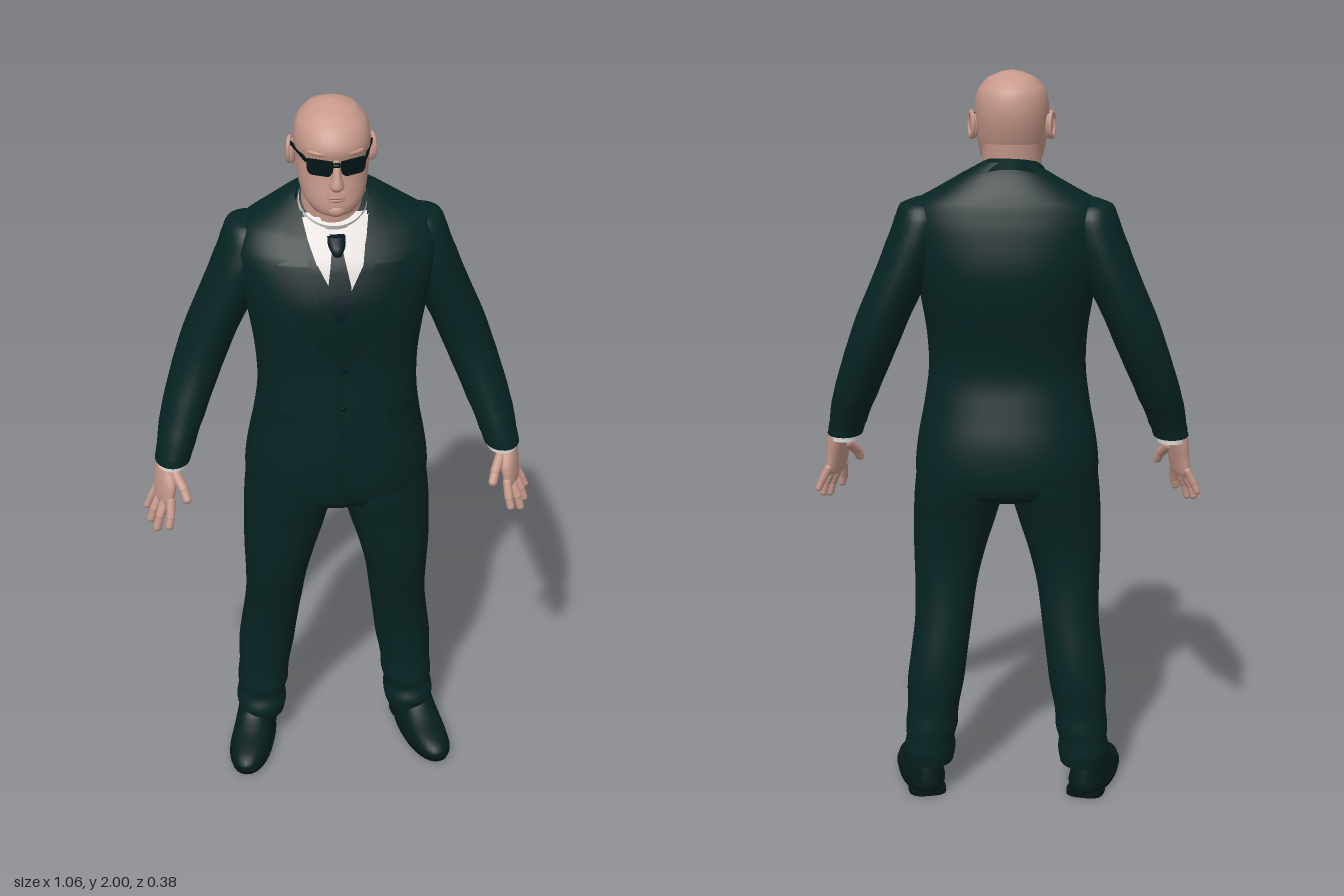
import * as THREE from 'three';

const paint = (name, color) => Object.assign(new THREE.MeshStandardMaterial({ color }), { name });
const sheet = (m) => { m.side = THREE.DoubleSide; return m; };

// Section: [y, cx, zFront, zBack, halfWidth], ordered from low to high; smoothed between sections
function rings(sections, steps = 4) {
  const curve = (f) => new THREE.CatmullRomCurve3(sections.map(f), false, 'catmullrom', 0.5);
  const a = curve((s) => new THREE.Vector3(s[1], s[4], 0));
  const b = curve((s) => new THREE.Vector3(s[2], s[3], 0));
  const n = (sections.length - 1) * steps;
  return Array.from({ length: n + 1 }, (_, j) => {
    const k = Math.min(Math.floor(j / steps), sections.length - 2);
    const y = THREE.MathUtils.lerp(sections[k][0], sections[k + 1][0], j / steps - k);
    const p = a.getPoint(j / n), q = b.getPoint(j / n);
    return [y, p.x, q.x, q.y, Math.max(p.y, 0.001)];
  });
}

// Closed body through superelliptical rings, with flat end caps
function loft(sections, { power = 2, seg = 32, steps = 4 } = {}) {
  const rs = rings(sections, steps), pos = [], idx = [];
  const bend = (v) => Math.sign(v) * Math.abs(v) ** (2 / power);
  const addRing = ([y, cx, zf, zb, hw]) => {
    for (let i = 0; i < seg; i++) {
      const t = (i / seg) * Math.PI * 2;
      pos.push(cx + hw * bend(Math.sin(t)), y, (zf + zb) / 2 + (zf - zb) / 2 * bend(Math.cos(t)));
    }
  };
  rs.forEach(addRing);
  for (let j = 0; j < rs.length - 1; j++) for (let i = 0; i < seg; i++) {
    const a = j * seg + i, b = j * seg + (i + 1) % seg;
    idx.push(a, b, b + seg, a, b + seg, a + seg);
  }
  [rs[0], rs[rs.length - 1]].forEach((r, top) => {
    const base = pos.length / 3;
    addRing(r);
    pos.push(r[1], r[0], (r[2] + r[3]) / 2);
    for (let i = 0; i < seg; i++) {
      const a = base + i, b = base + (i + 1) % seg;
      idx.push(base + seg, top ? a : b, top ? b : a);
    }
  });
  return finish(pos, idx);
}

function finish(pos, idx) {
  const g = new THREE.BufferGeometry();
  g.setAttribute('position', new THREE.Float32BufferAttribute(pos, 3));
  g.setIndex(idx);
  g.computeVertexNormals();
  return g;
}

const JACKET = [
  [0.91, 0, 0.172, -0.183, 0.247], [0.95, 0, 0.18, -0.187, 0.248], [1.02, 0, 0.183, -0.182, 0.24],
  [1.1, 0, 0.18, -0.163, 0.225], [1.2, 0, 0.174, -0.142, 0.212], [1.3, 0, 0.168, -0.155, 0.215],
  [1.4, 0, 0.174, -0.18, 0.23], [1.5, 0, 0.17, -0.19, 0.25], [1.6, 0, 0.135, -0.175, 0.268],
  [1.66, 0, 0.088, -0.158, 0.245], [1.7, 0, 0.045, -0.14, 0.18], [1.74, 0, 0.0, -0.115, 0.115],
  [1.77, 0, -0.03, -0.09, 0.06]];
const POWER = 2.3, JACKET_RINGS = rings(JACKET);

// Front surface of the jacket, used to lay cloth details on it
function chestZ(x, y) {
  let k = JACKET_RINGS.findIndex((r) => r[0] > y);
  k = k < 1 ? JACKET_RINGS.length - 1 : k;
  const a = JACKET_RINGS[k - 1], b = JACKET_RINGS[k];
  const [, , zf, zb, hw] = a.map((v, i) => THREE.MathUtils.lerp(v, b[i], (y - a[0]) / (b[0] - a[0])));
  const u = Math.min(Math.abs(x) / hw, 1);
  return (zf + zb) / 2 + (zf - zb) / 2 * (1 - u ** POWER) ** (1 / POWER);
}

// Thin cloth sheet following the chest; rows run downward as [y, x0, x1]
function cloth(rows, lift, s = 1) {
  const pos = [], idx = [], cols = 8, fine = [];
  rows.forEach((r, i) => {
    if (i) for (let k = 1; k <= 5; k++) fine.push(r.map((v, c) => THREE.MathUtils.lerp(rows[i - 1][c], v, k / 5)));
    else fine.push(r);
  });
  fine.forEach(([y, x0, x1], j) => {
    for (let i = 0; i <= cols; i++) {
      const x = s * THREE.MathUtils.lerp(x0, x1, i / cols), a = j * (cols + 1) + i;
      pos.push(x, y, chestZ(x, y) + lift);
      if (j && i) {
        const q = [a - cols - 2, a - 1, a, a - cols - 1];
        if (s < 0) q.reverse();
        idx.push(q[0], q[1], q[2], q[0], q[2], q[3]);
      }
    }
  });
  return finish(pos, idx);
}

export function createModel() {
  const suit = paint('suit cloth', 0x062423), trim = sheet(paint('lapel cloth', 0x052120));
  const skin = paint('skin', 0xc7998b), lip = paint('lips', 0xb58478);
  const shirt = sheet(paint('shirt white', 0xe2dddb)), tieCloth = sheet(paint('tie', 0x041a20));
  const dark = paint('dark lens', 0x021416), leather = paint('shoe leather', 0x051d1d);
  const model = new THREE.Group();
  model.name = 'suitedMan';
  const add = (name, geo, mat, p = [0, 0, 0], r = [0, 0, 0], parent = model) => {
    const m = new THREE.Mesh(geo, mat);
    m.name = name;
    m.position.set(...p);
    m.rotation.set(...r);
    parent.add(m);
    return m;
  };
  const ball = (name, mat, p, size, parent, r) =>
    add(name, new THREE.SphereGeometry(1, 20, 14), mat, p, r, parent).scale.set(...size);
  const capsule = (name, mat, a, b, radius) => {
    const A = new THREE.Vector3(...a), d = new THREE.Vector3(...b).sub(A);
    const m = add(name, new THREE.CapsuleGeometry(radius, d.length(), 5, 12), mat);
    m.position.copy(A).addScaledVector(d, 0.5);
    m.quaternion.setFromUnitVectors(new THREE.Vector3(0, 1, 0), d.normalize());
  };

  // Jacket body and hips
  add('jacket', loft(JACKET, { power: POWER, seg: 56 }), suit);
  add('trouserSeat', loft([[0.835, 0, 0.06, -0.06, 0.06], [0.86, 0, 0.125, -0.13, 0.19],
    [0.9, 0, 0.145, -0.155, 0.235], [0.95, 0, 0.15, -0.16, 0.235]]), suit);

  // Waistcoat, shirt front and tie
  add('waistcoat', cloth([[1.7, -0.1, 0.1], [1.6, -0.09, 0.09], [1.5, -0.065, 0.065], [1.33, 0, 0]], 0.003), trim);
  add('shirtFront', cloth([[1.705, -0.085, 0.075], [1.6, -0.06, 0.055], [1.5, -0.008, 0.0]], 0.006), shirt);
  add('tieBlade', cloth([[1.635, -0.024, 0.004], [1.55, -0.038, 0.022], [1.49, -0.03, 0.016], [1.46, -0.01, 0]], 0.011), tieCloth);
  add('tieKnot', loft([[1.625, -0.01, 0.142, 0.105, 0.012], [1.645, -0.01, 0.136, 0.09, 0.022],
    [1.665, -0.01, 0.112, 0.07, 0.024]], { seg: 16 }), tieCloth);

  // Collars around the neck
  add('shirtCollar', new THREE.CylinderGeometry(0.087, 0.094, 0.05, 36, 1, true), shirt, [-0.01, 1.715, 0], [0.6, 0, 0]);
  add('jacketCollar', new THREE.CylinderGeometry(0.093, 0.115, 0.05, 36, 1, true, Math.PI / 2, Math.PI), trim, [-0.008, 1.712, -0.008], [0.6, 0, 0]);

  // Buttons and breast pocket
  [1.31, 1.2].forEach((y) => ball('jacketButton', dark, [0, y, chestZ(0, y)], [0.01, 0.01, 0.006]));
  add('breastPocket', cloth([[1.522, 0.125, 0.205], [1.5, 0.125, 0.2]], 0.005), trim);
  add('pocketSquare', cloth([[1.56, 0.165, 0.166], [1.522, 0.135, 0.195]], 0.004), trim);
  add('frontEdge', cloth([[1.33, -0.016, 0.004], [1.1, -0.018, 0.004], [0.96, -0.016, 0.006], [0.915, 0.01, 0.03]], 0.005), trim);

  for (const s of [1, -1]) {
    const side = s > 0 ? 'left' : 'right';
    const limb = (rows) => rows.map(([y, x, ...rest]) => [y, x * s, ...rest]);

    // Lapel, shirt collar wing and hip pocket flap
    add(side + 'Lapel', cloth([[1.71, 0.09, 0.12], [1.66, 0.088, 0.145], [1.622, 0.085, 0.162], [1.615, 0.085, 0.13],
      [1.6, 0.083, 0.17], [1.5, 0.06, 0.132], [1.4, 0.028, 0.075], [1.325, -0.004, 0.016]], 0.011, s), trim);
    add(side + 'CollarWing', cloth([[1.7, 0.04, 0.085], [1.655, 0.012, 0.074], [1.605, 0.05, 0.056]], 0.013, s), shirt)
      .position.x = -0.008;
    add(side + 'PocketFlap', cloth([[1.18, 0.115, 0.195], [1.14, 0.122, 0.202]], 0.006, s), trim);

    // Sleeve with shirt cuff
    add(side + 'Sleeve', loft(limb([[1.005, 0.446, 0.112, -0.018, 0.048], [1.04, 0.436, 0.107, -0.03, 0.051],
      [1.12, 0.413, 0.085, -0.07, 0.06], [1.25, 0.368, 0.055, -0.115, 0.068], [1.35, 0.33, 0.05, -0.135, 0.072],
      [1.45, 0.285, 0.055, -0.142, 0.075], [1.55, 0.245, 0.06, -0.14, 0.076], [1.62, 0.225, 0.045, -0.13, 0.07],
      [1.655, 0.225, 0.02, -0.11, 0.055], [1.672, 0.22, -0.02, -0.07, 0.02]])), suit);
    add(side + 'Cuff', loft(limb([[0.988, 0.448, 0.1, 0.0, 0.04], [1.02, 0.443, 0.1, -0.005, 0.042]]), { seg: 24 }), shirt);

    // Hand
    add(side + 'Palm', loft(limb([[-0.008, 0.002, 0.035, -0.035, 0.012], [0.005, 0, 0.044, -0.044, 0.016],
      [0.05, -0.008, 0.042, -0.046, 0.02], [0.09, -0.016, 0.02, -0.05, 0.022], [0.13, -0.022, 0.012, -0.05, 0.023]]),
    { seg: 24, power: 2.3 }), skin, [0.475 * s, 0.892, 0.07], [0, -0.49 * s, 0]);
    [[[0.457, 0.9, 0.104], [0.46, 0.86, 0.123], [0.465, 0.837, 0.13], 0.012],
      [[0.47, 0.897, 0.08], [0.488, 0.85, 0.096], [0.497, 0.817, 0.1], 0.0125],
      [[0.483, 0.897, 0.056], [0.503, 0.855, 0.066], [0.512, 0.826, 0.068], 0.012],
      [[0.493, 0.905, 0.034], [0.51, 0.872, 0.034], [0.52, 0.848, 0.034], 0.0105],
      [[0.442, 0.968, 0.07], [0.422, 0.938, 0.108], [0.414, 0.915, 0.124], 0.0135],
    ].forEach(([a, b, c, r]) => {
      [a, b, c].forEach((p) => { p[0] *= s; });
      capsule(side + 'FingerBase', skin, a, b, r);
      capsule(side + 'FingerTip', skin, b, c, r * 0.92);
    });

    // Trouser leg, with slight breaks at knee and hem
    add(side + 'TrouserLeg', loft(limb([[0.085, 0.214, 0.04, -0.125, 0.064], [0.12, 0.215, 0.05, -0.132, 0.071],
      [0.155, 0.213, 0.037, -0.132, 0.067], [0.19, 0.209, 0.042, -0.134, 0.072], [0.24, 0.205, 0.037, -0.13, 0.071],
      [0.32, 0.197, 0.04, -0.134, 0.078], [0.4, 0.187, 0.05, -0.13, 0.078], [0.5, 0.175, 0.072, -0.116, 0.079],
      [0.6, 0.168, 0.1, -0.105, 0.086], [0.7, 0.157, 0.118, -0.105, 0.1], [0.8, 0.141, 0.13, -0.123, 0.115],
      [0.87, 0.13, 0.142, -0.143, 0.122], [0.95, 0.125, 0.145, -0.155, 0.118]]), { power: 2.15 }), suit);

    // Shoe
    const shoe = new THREE.Group();
    shoe.name = side + 'Shoe';
    shoe.position.set(0.246 * s, 0, 0.03);
    shoe.rotation.y = 0.22 * s;
    model.add(shoe);
    add('upper', loft([[0.014, 0, 0.158, -0.152, 0.057], [0.035, 0, 0.154, -0.155, 0.059], [0.055, 0, 0.125, -0.153, 0.055],
      [0.075, 0, 0.06, -0.15, 0.052], [0.1, 0, 0.01, -0.145, 0.048], [0.13, 0, -0.01, -0.14, 0.042]], { power: 2.2 }),
    leather, undefined, undefined, shoe);
    add('sole', loft([[0.006, 0, 0.158, -0.155, 0.06], [0.02, 0, 0.165, -0.158, 0.063]], { power: 2.2 }), dark, undefined, undefined, shoe);
    add('heel', loft([[0, 0, -0.06, -0.157, 0.052], [0.012, 0, -0.06, -0.157, 0.052]], { power: 3 }), dark, undefined, undefined, shoe);
  }

  // Head and neck
  const head = new THREE.Group();
  head.name = 'head';
  head.position.x = -0.012;
  model.add(head);
  add('neck', loft([[1.62, 0, 0.06, -0.08, 0.08], [1.7, 0, 0.066, -0.076, 0.079], [1.76, 0, 0.07, -0.078, 0.078],
    [1.82, 0, 0.06, -0.085, 0.08]]), skin, undefined, undefined, head);
  add('skull', loft([[1.722, 0, 0.1, 0.02, 0.036], [1.735, 0, 0.125, -0.01, 0.056], [1.76, 0, 0.131, -0.045, 0.076],
    [1.79, 0, 0.128, -0.072, 0.086], [1.83, 0, 0.122, -0.09, 0.092], [1.87, 0, 0.121, -0.103, 0.095],
    [1.91, 0, 0.129, -0.108, 0.097], [1.95, 0, 0.107, -0.1, 0.088], [1.98, 0, 0.067, -0.072, 0.063],
    [1.995, 0, 0.025, -0.036, 0.031], [2, 0, 0.002, -0.012, 0.006]], { power: 2.1, seg: 40 }), skin, undefined, undefined, head);
  add('nose', loft([[1.805, 0, 0.14, 0.1, 0.012], [1.817, 0, 0.154, 0.1, 0.019], [1.84, 0, 0.148, 0.1, 0.013],
    [1.885, 0, 0.128, 0.1, 0.009]], { seg: 20 }), skin, undefined, undefined, head);
  ball('upperLip', lip, [0, 1.785, 0.126], [0.026, 0.005, 0.008], head);
  ball('lowerLip', lip, [0, 1.777, 0.126], [0.022, 0.005, 0.008], head);
  ball('chin', skin, [0, 1.748, 0.113], [0.026, 0.02, 0.022], head);
  ball('glassesBridge', dark, [0, 1.876, 0.134], [0.015, 0.006, 0.008], head);

  // Ears, brows and sunglasses
  const lens = new THREE.Shape();
  lens.moveTo(-0.033, 0.02).lineTo(0.033, 0.02).quadraticCurveTo(0.038, -0.018, 0.02, -0.02)
    .lineTo(-0.02, -0.02).quadraticCurveTo(-0.038, -0.018, -0.033, 0.02);
  for (const s of [1, -1]) {
    ball('ear', skin, [0.098 * s, 1.856, -0.014], [0.009, 0.034, 0.02], head, [-0.15, 0.35 * s, 0]);
    add('earRim', new THREE.TorusGeometry(0.024, 0.006, 8, 20), skin, [0.105 * s, 1.86, -0.016], [0, Math.PI / 2 + 0.3 * s, 0], head)
      .scale.set(0.8, 1.3, 1);
    ball('brow', skin, [0.038 * s, 1.9, 0.105], [0.036, 0.01, 0.016], head, [0, 0.4 * s, 0]);
    add('lens', new THREE.ExtrudeGeometry(lens, { depth: 0.008, bevelEnabled: false, curveSegments: 8 }), dark,
      [0.04 * s, 1.868, 0.122], [0, 0.45 * s, 0], head);
    add('glassesArm', new THREE.BoxGeometry(0.005, 0.008, 0.12), dark, [0.089 * s, 1.882, 0.052], [0, -0.25 * s, 0], head);
  }
  return model;
}
